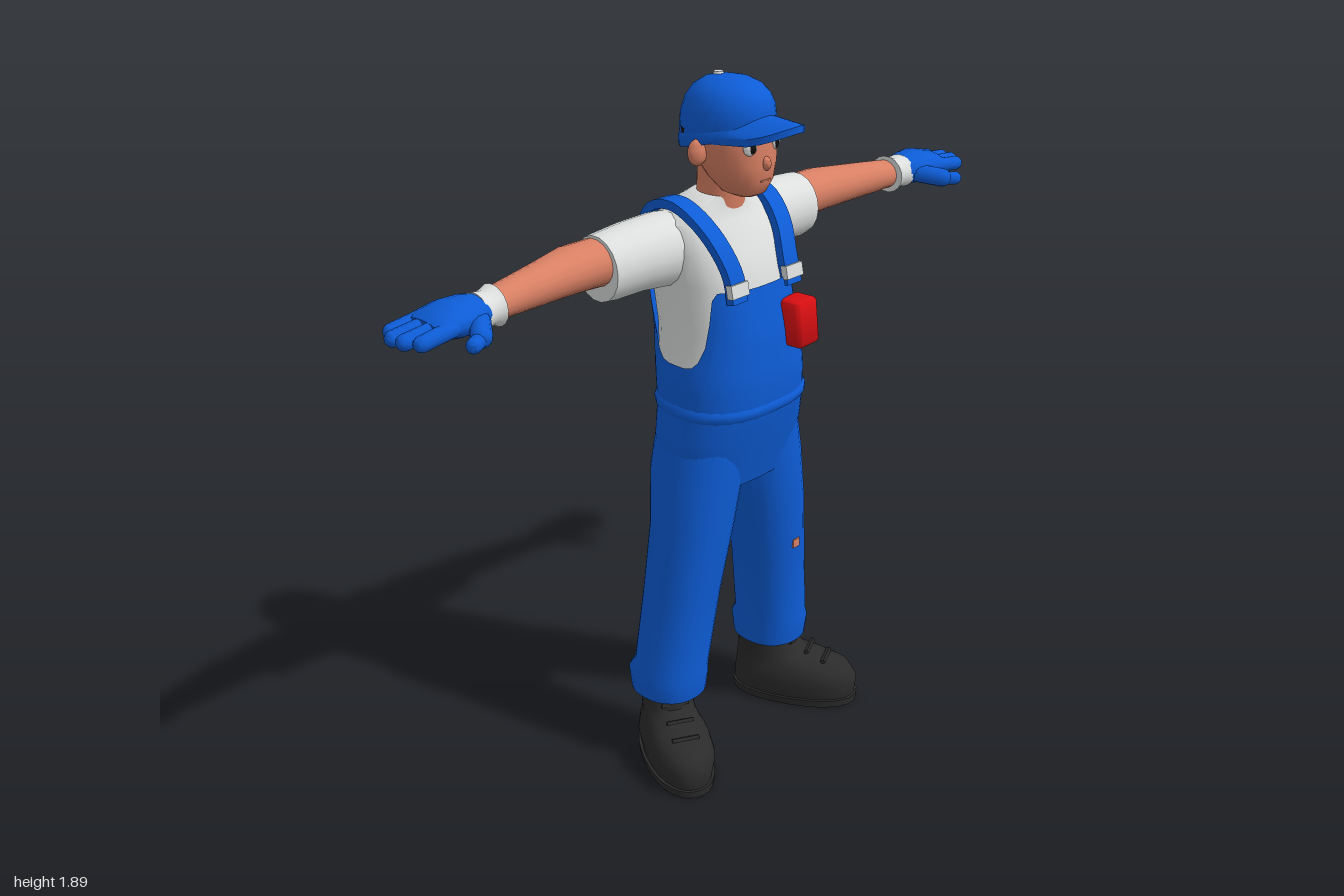
import * as THREE from 'three';
import { toCreasedNormals } from 'three/addons/utils/BufferGeometryUtils.js';
import { RoundedBoxGeometry } from 'three/addons/geometries/RoundedBoxGeometry.js';

const paint = (name, color, side = THREE.FrontSide) => {
  const m = new THREE.MeshStandardMaterial({ color, side });
  m.name = name;
  return m;
};
const V = (x, y, z) => new THREE.Vector3(x, y, z);
const pow = (v, e) => Math.sign(v) * Math.abs(v) ** e;
const SEG = 28;

// closed cross-section from a function of the angle
const ring = (fn, n = SEG) => Array.from({ length: n }, (_, i) => fn((i / n) * Math.PI * 2));
// level section: height, centre x, half width, back z, front z
const ringY = ([y, cx, hw, z0, z1], e = 0.9) => ring(a =>
  V(cx + hw * pow(Math.cos(a), e), y, (z0 + z1) / 2 + ((z1 - z0) / 2) * pow(Math.sin(a), e)));
// upright section across x: x, centre y, centre z, half height, half depth
const ringX = ([x, y, z, ry, rz]) => ring(a => V(x, y + ry * Math.sin(a), z + rz * Math.cos(a)), 18);

// skin over a row of cross-sections, with optional end caps
function loft(rings, caps = true) {
  const n = rings[0].length, pts = rings.flat(), index = [];
  for (let i = 0; i < rings.length - 1; i++) for (let j = 0; j < n; j++) {
    const a = i * n + j, b = i * n + (j + 1) % n;
    index.push(a, a + n, b, b, a + n, b + n);
  }
  if (caps) [rings[0], rings[rings.length - 1]].forEach((r, k) => {
    const base = pts.length;
    const mid = r.reduce((s, p) => s.add(p), V(0, 0, 0)).divideScalar(n);
    pts.push(...r, mid);
    for (let j = 0; j < n; j++) {
      const a = base + j, b = base + (j + 1) % n;
      index.push(...(k ? [a, base + n, b] : [a, b, base + n]));
    }
  });
  const g = new THREE.BufferGeometry().setFromPoints(pts);
  g.setIndex(index);
  g.computeVertexNormals();
  return g;
}

function mirrored(geo) {
  const g = geo.clone().scale(-1, 1, 1), ix = g.index;
  for (let i = 0; i < ix.count; i += 3) {
    const a = ix.getX(i);
    ix.setX(i, ix.getX(i + 1));
    ix.setX(i + 1, a);
  }
  return g;
}

const ball = (x, y, z, sx, sy, sz, turn = 0) =>
  new THREE.SphereGeometry(1, 18, 12).scale(sx, sy, sz).rotateY(turn).translate(x, y, z);

// rounded limb between two points
function capsule(p, q, r) {
  const d = q.clone().sub(p);
  const g = new THREE.CapsuleGeometry(r, d.length(), 5, 12);
  g.applyQuaternion(new THREE.Quaternion().setFromUnitVectors(V(0, 1, 0), d.clone().normalize()));
  const m = p.clone().add(q).multiplyScalar(0.5);
  return g.translate(m.x, m.y, m.z);
}

// flat ribbon running up the chest, over the shoulder and down the back
function ribbon(points, w, t) {
  const curve = new THREE.CatmullRomCurve3(points.map(p => V(...p)));
  return loft(Array.from({ length: 25 }, (_, i) => {
    const p = curve.getPoint(i / 24), d = curve.getTangent(i / 24);
    const l = Math.hypot(d.y, d.z), ny = -d.z / l, nz = d.y / l;
    return [[1, 1], [-1, 1], [-1, -1], [1, -1]].map(([s, k]) =>
      V(p.x + s * w, p.y + k * t * ny, p.z + k * t * nz));
  }));
}

// torso profile: height, half width, back z, front z
const TORSO = [
  [0.82, 0.19, -0.14, 0.09], [0.95, 0.205, -0.15, 0.125], [1.04, 0.193, -0.155, 0.147],
  [1.13, 0.19, -0.165, 0.15], [1.25, 0.167, -0.19, 0.14], [1.38, 0.17, -0.208, 0.113],
  [1.46, 0.175, -0.203, 0.085], [1.53, 0.165, -0.18, 0.035], [1.565, 0.11, -0.15, 0.02],
  [1.59, 0.068, -0.115, 0.02],
];
function torsoPoint(a, y, off) {
  let i = 0;
  while (i < TORSO.length - 2 && y > TORSO[i + 1][0]) i++;
  const p = TORSO[i], q = TORSO[i + 1], t = (y - p[0]) / (q[0] - p[0]);
  const [hw, z0, z1] = [1, 2, 3].map(k => p[k] + (q[k] - p[k]) * t);
  return V((hw + off) * pow(Math.cos(a), 0.8), y,
    (z0 + z1) / 2 + ((z1 - z0) / 2 + off) * pow(Math.sin(a), 0.8));
}

export function createModel() {
  const model = new THREE.Group();
  model.name = 'worker';
  const blue = paint('workwear blue', 0x0d5cd6, THREE.DoubleSide);
  const white = paint('shirt white', 0xdcdfde);
  const skin = paint('skin', 0xd98064);
  const black = paint('boot black', 0x2b2b2b);
  const red = paint('pouch red', 0xd90f12);
  const dark = paint('hair and eye black', 0x14110f);

  const add = (name, geo, mat, crease = 0.8) => {
    const m = new THREE.Mesh(toCreasedNormals(geo, crease), mat);
    m.name = name;
    model.add(m);
    return m;
  };
  const pair = (name, geo, mat) => {
    add('left ' + name, geo, mat);
    add('right ' + name, mirrored(geo), mat);
  };

  // shirt body and overalls with a bib in front and behind
  const rows = TORSO.map(r => r[0]).filter(y => y > 1.1);
  add('shirt', loft(rows.map(y => ring(a => torsoPoint(a, y, -0.004)))), white);
  const bibTop = a => {
    const c = Math.abs(Math.cos(a)) ** 0.8;
    return 1.375 - 0.205 * THREE.MathUtils.smoothstep(c, 0.78, 1);
  };
  add('overalls', loft(Array.from({ length: 22 }, (_, i) =>
    ring(a => torsoPoint(a, 0.82 + (bibTop(a) - 0.82) * i / 21, 0.007), 56)), false), blue, 1.2);
  add('overall seat', loft([ringY([0.815, 0, 0.17, -0.125, 0.075]), ringY([0.84, 0, 0.19, -0.14, 0.09])]), blue);
  add('waist seam', loft([[1.03, 0.007], [1.04, 0.013], [1.055, 0.013], [1.065, 0.006]].map(([y, o]) =>
    ring(a => torsoPoint(a, y, o))), false), blue);

  // straps and buckles
  pair('strap', ribbon([[0.1, 1.35, 0.117], [0.1, 1.42, 0.1], [0.118, 1.5, 0.06], [0.13, 1.555, 0.0],
    [0.128, 1.575, -0.07], [0.12, 1.55, -0.15], [0.105, 1.47, -0.203], [0.095, 1.36, -0.213]], 0.026, 0.012), blue);
  pair('buckle', new THREE.BoxGeometry(0.06, 0.035, 0.02).rotateX(-0.2).translate(0.1, 1.385, 0.118), white);

  // chest pouch
  const pouch = add('chest pouch', new RoundedBoxGeometry(0.078, 0.125, 0.075, 2, 0.012), red);
  pouch.position.set(0.086, 1.262, 0.155);
  pouch.rotation.set(-0.06, 0, 0.05);

  // trouser legs with rolled cuffs
  pair('trouser leg', loft([
    [0.205, 0.205, 0.08, -0.13, 0.04], [0.2, 0.205, 0.096, -0.148, 0.058], [0.255, 0.205, 0.101, -0.155, 0.066],
    [0.285, 0.2, 0.095, -0.138, 0.064], [0.5, 0.172, 0.099, -0.125, 0.08], [0.7, 0.14, 0.105, -0.125, 0.1],
    [0.85, 0.114, 0.113, -0.145, 0.108], [0.97, 0.1, 0.1, -0.14, 0.11],
  ].map(r => ringY(r))), blue);
  add('knee mark', new THREE.BoxGeometry(0.025, 0.025, 0.006).translate(0.17, 0.55, 0.086), skin);

  // boots, turned outward
  const place = g => g.rotateY(0.48).translate(0.208, 0, -0.05);
  pair('boot', place(loft([
    [0.02, 0, 0.084, -0.098, 0.262], [0.07, 0, 0.093, -0.098, 0.268], [0.105, 0, 0.085, -0.094, 0.245],
    [0.125, 0, 0.074, -0.092, 0.19], [0.14, 0, 0.07, -0.09, 0.12], [0.165, 0, 0.069, -0.088, 0.085],
    [0.24, 0, 0.074, -0.088, 0.075],
  ].map(r => ringY(r)))), black);
  pair('boot sole', place(loft([[0, 0, 0.09, -0.103, 0.268], [0.022, 0, 0.092, -0.104, 0.27]].map(r => ringY(r)))), black);
  for (const k of [0, 1, 2]) pair('boot lace', place(
    new THREE.BoxGeometry(0.075, 0.01, 0.012).rotateX(-0.5).translate(0, 0.13 + k * 0.024, 0.175 - k * 0.05)), black);

  // sleeves and arms
  pair('sleeve', loft([
    [0.06, 1.455, -0.085, 0.085, 0.09], [0.16, 1.455, -0.1, 0.097, 0.095], [0.25, 1.455, -0.11, 0.091, 0.09],
    [0.34, 1.453, -0.107, 0.088, 0.083], [0.365, 1.453, -0.107, 0.085, 0.079],
  ].map(ringX)), white);
  pair('arm', loft([
    [0.32, 1.468, -0.112, 0.062, 0.066], [0.45, 1.472, -0.112, 0.058, 0.068], [0.55, 1.47, -0.098, 0.051, 0.056],
    [0.63, 1.467, -0.09, 0.046, 0.048], [0.74, 1.463, -0.08, 0.037, 0.042],
  ].map(ringX)), skin);

  // gloves
  pair('glove cuff', loft([[0.71, 1.464, -0.076, 0.052, 0.056], [0.735, 1.464, -0.074, 0.042, 0.049],
    [0.765, 1.464, -0.072, 0.046, 0.053]].map(ringX)), white);
  pair('glove palm', loft([[0.745, 1.466, -0.072, 0.036, 0.046], [0.79, 1.468, -0.07, 0.045, 0.064],
    [0.84, 1.468, -0.074, 0.043, 0.073], [0.89, 1.466, -0.075, 0.032, 0.073], [0.91, 1.464, -0.075, 0.02, 0.066],
  ].map(ringX)), blue);
  [[-0.128, 0.958], [-0.092, 0.98], [-0.055, 0.976], [-0.02, 0.955]].forEach(([z, tip]) =>
    pair('glove finger', capsule(V(0.87, 1.467, z), V(tip, 1.456, z), 0.02), blue));
  pair('glove thumb', capsule(V(0.79, 1.46, -0.025), V(0.83, 1.45, 0.03), 0.026), blue);
  pair('glove thumb tip', capsule(V(0.82, 1.45, 0.026), V(0.865, 1.445, 0.048), 0.019), blue);

  // neck, head and face
  add('neck', loft([[1.54, 0, 0.068, -0.115, 0.02], [1.59, 0, 0.057, -0.1, 0.025],
    [1.68, 0, 0.06, -0.095, 0.03]].map(r => ringY(r))), skin);
  add('head', loft([
    [1.597, 0, 0.03, 0.01, 0.08], [1.607, 0, 0.05, -0.02, 0.1], [1.64, 0, 0.072, -0.055, 0.116],
    [1.68, 0, 0.09, -0.085, 0.118], [1.74, 0, 0.1, -0.105, 0.115], [1.8, 0, 0.098, -0.11, 0.11],
  ].map(r => ringY(r))), skin);
  add('nose', ball(0, 1.688, 0.118, 0.011, 0.018, 0.014), skin);
  add('mouth', new THREE.BoxGeometry(0.035, 0.004, 0.004).translate(0, 1.645, 0.116), skin);
  pair('ear', ball(0.108, 1.712, -0.012, 0.026, 0.034, 0.016, 0.4), skin);
  pair('eye white', ball(0.046, 1.735, 0.106, 0.019, 0.022, 0.008, 0.35), white);
  pair('pupil', ball(0.043, 1.735, 0.112, 0.01, 0.017, 0.005, 0.35), dark);
  pair('eyebrow', new THREE.BoxGeometry(0.05, 0.01, 0.008).rotateZ(-0.08).rotateY(0.4).translate(0.05, 1.768, 0.106), dark);
  add('hair', loft([[1.715, 0, 0.098, -0.115, 0.01], [1.76, 0, 0.102, -0.122, 0.02]].map(r => ringY(r))), dark);

  // cap with a rim lower at the back, a curved brim and a top button
  const rim = a => 1.728 + 0.036 * Math.sin(a);
  const capRing = ([f, s]) => ring(a => V(0.106 * s * Math.cos(a),
    rim(a) + (1.885 - rim(a)) * f, -0.014 + 0.128 * s * Math.sin(a)));
  add('cap', loft([[0, 1], [0.25, 1.03], [0.5, 1.0], [0.7, 0.9], [0.85, 0.74], [0.95, 0.5], [0.99, 0.25], [1, 0.04]]
    .map(capRing)), blue, 1.0);
  add('cap band', loft([[0.0, 1.02], [0.05, 1.05], [0.16, 1.05], [0.2, 1.02]].map(capRing), false), blue);
  const brim = new THREE.BoxGeometry(2, 1, 1, 14, 1, 6), p = brim.attributes.position;
  for (let i = 0; i < p.count; i++) {
    const u = p.getX(i), v = p.getZ(i) + 0.5, out = Math.sqrt(Math.max(0, 1 - u * u));
    p.setXYZ(i, u * 0.1, 1.797 - 0.045 * u * u + p.getY(i) * 0.018 - 0.006 * v,
      0.02 + 0.07 * out + v * (0.13 * out ** 0.8));
  }
  brim.computeVertexNormals();
  add('cap brim', brim, blue);
  add('cap button', new THREE.CylinderGeometry(0.012, 0.014, 0.006, 10).translate(0, 1.886, -0.045), white);

  return model;
}
